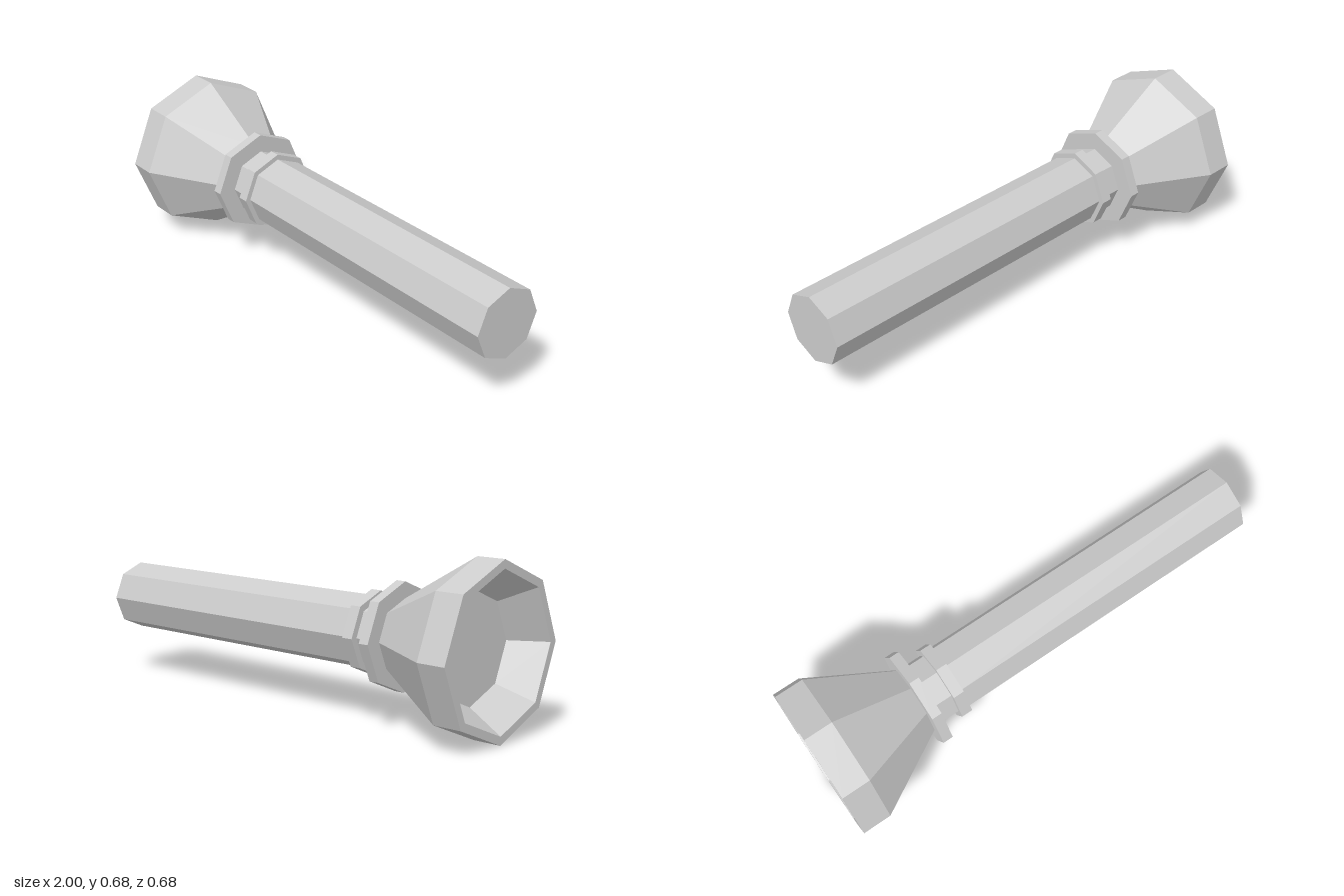
import * as THREE from 'three';

const SIDES = 8;
const AXIS_HEIGHT = 0.339;

export function createModel() {
  const group = new THREE.Group();
  group.name = 'flashlight';
  const material = new THREE.MeshStandardMaterial({ color: 0xcccccc, flatShading: true });

  // Octagonal solid turned about the x axis; profile is [radius, x] from -x to +x
  function turned(name, profile) {
    const points = profile.map(([r, x]) => new THREE.Vector2(r, x));
    const geometry = new THREE.LatheGeometry(points, SIDES);
    geometry.rotateZ(-Math.PI / 2);
    const mesh = new THREE.Mesh(geometry, material);
    mesh.name = name;
    mesh.position.y = AXIS_HEIGHT;
    group.add(mesh);
  }

  // Plain octagonal bar with closed ends
  const bar = (name, radius, x0, x1) =>
    turned(name, [[0, x0], [radius, x0], [radius, x1], [0, x1]]);

  // Flared head with a recessed lens and sloping reflector walls
  turned('head', [
    [0, -0.86], [0.22, -0.86], [0.305, -1], [0.339, -1],
    [0.339, -0.88], [0.15, -0.55], [0, -0.55],
  ]);

  // Wide collar, neck and narrow ring behind the head
  bar('collar', 0.215, -0.55, -0.507);
  bar('neck', 0.14, -0.507, -0.43);
  bar('ring', 0.168, -0.43, -0.383);

  // Long handle
  bar('handle', 0.146, -0.383, 1);

  return group;
}
